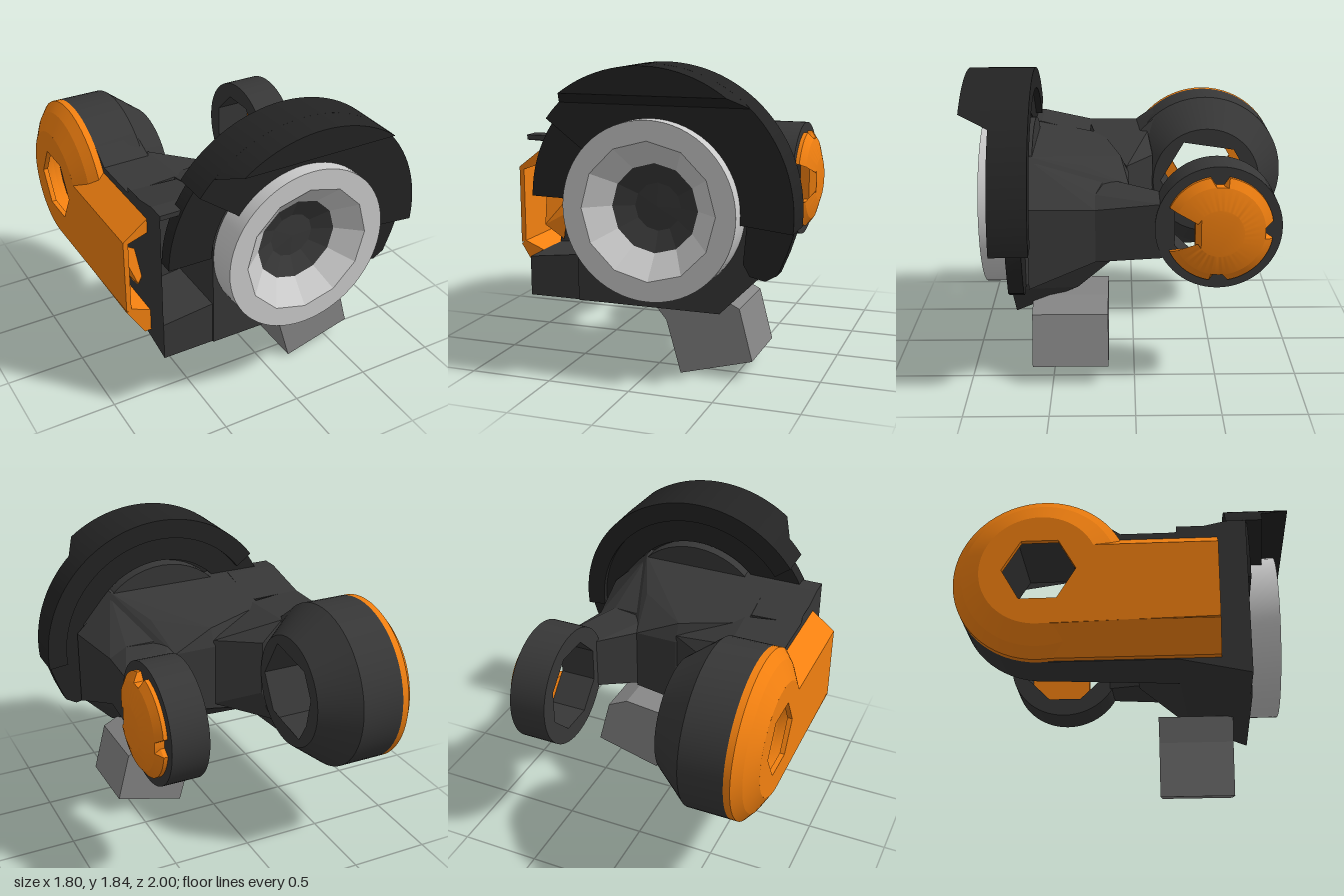
import * as THREE from 'three';
import { toCreasedNormals } from 'three/addons/utils/BufferGeometryUtils.js';
import { ConvexGeometry } from 'three/addons/geometries/ConvexGeometry.js';

const material = (color, extra = {}) => new THREE.MeshStandardMaterial({ color, ...extra });
const DARK = material(0x373737), BLACK = material(0x232323), ORANGE = material(0xf28010);
const LIGHT = material(0xcccccc), GREY = material(0x858585);
const FACET = { flatShading: true, side: THREE.DoubleSide };
const HUB_Y = 1.025, HUB_Z = -0.485; // pivot axis shared by both arms
const WX = 0.085, WY = 1.025; // wheel axis

export function createModel() {
  const model = new THREE.Group();

  const add = (name, geometry, mat) => {
    const mesh = new THREE.Mesh(geometry, mat);
    mesh.name = name;
    model.add(mesh);
    return mesh;
  };

  // Faceted solid around a few corners
  const hull = (name, corners, mat = DARK) => {
    const g = new ConvexGeometry(corners.map((c) => new THREE.Vector3(...c)));
    return add(name, toCreasedNormals(g, 0.1), mat);
  };

  const polygon = (n, r, turn = 0) =>
    Array.from({ length: n }, (_, i) => {
      const a = turn + (i / n) * Math.PI * 2;
      return new THREE.Vector2(r * Math.cos(a), r * Math.sin(a));
    });

  const ringShape = (r, hole) => {
    const s = new THREE.Shape(polygon(64, r));
    s.holes.push(new THREE.Path(hole));
    return s;
  };

  const extrude = (shape, z0, z1) =>
    new THREE.ExtrudeGeometry(shape, { depth: z1 - z0, bevelEnabled: false, curveSegments: 48 }).translate(0, 0, z0);

  // Disc on the pivot axis, its outer radius following [x, radius] steps
  const pivotDisc = (name, shape, steps, mat) => {
    for (let k = 0; k + 1 < steps.length; k++) {
      const [x0, r0] = steps[k], [x1, r1] = steps[k + 1];
      const g = extrude(shape, x0, x1);
      const p = g.attributes.position;
      for (let i = 0; i < p.count; i++) {
        const limit = Math.abs(p.getZ(i) - x0) < 1e-4 ? r0 : r1;
        const r = Math.hypot(p.getX(i), p.getY(i));
        const f = r > limit ? limit / r : 1;
        p.setXY(i, p.getX(i) * f, p.getY(i) * f);
      }
      g.rotateY(Math.PI / 2).translate(0, HUB_Y, HUB_Z);
      add(name, toCreasedNormals(g, 0.4), mat);
    }
  };

  // Large right-hand pivot housing and its hollow orange cap
  pivotDisc('largePivot', ringShape(0.515, polygon(6, 0.3)),
    [[-0.75, 0.515], [-0.48, 0.515], [-0.27, 0.35]], DARK);
  pivotDisc('largePivotCapRim', ringShape(0.515, polygon(24, 0.33)),
    [[-0.9, 0.345], [-0.84, 0.455], [-0.79, 0.515], [-0.75, 0.515]], ORANGE);

  // Flat face of the cap, running forward into the tail, with a hexagonal hole
  const face = new THREE.Shape();
  const top = Math.PI - Math.asin(0.15 / 0.345);
  face.moveTo(-1.025, -0.325);
  face.lineTo(0, -0.345);
  face.absarc(0, 0, 0.345, -Math.PI / 2, top, false);
  face.lineTo(-1.025, 0.15);
  face.holes.push(new THREE.Path(polygon(6, 0.215)));
  const faceGeometry = extrude(face, -0.9, -0.87).rotateY(Math.PI / 2).translate(0, HUB_Y, HUB_Z);
  add('capFace', toCreasedNormals(faceGeometry, 0.4), ORANGE);

  // Sloping top and bottom of the tail, open to the front and inside
  const tailPart = (name, z0, section) =>
    hull(name, [z0, 0.54].flatMap((z) => section.map(([x, y]) => [x, y, z])), ORANGE);
  tailPart('capTailTop', -0.18, [[-0.9, 1.175], [-0.75, 1.29], [-0.75, 1.2], [-0.87, 1.16]]);
  tailPart('capTailBottom', HUB_Z, [[-0.9, 0.69], [-0.79, 0.515], [-0.75, 0.515], [-0.75, 0.66], [-0.87, 0.71]]);

  // Small left-hand pivot ring
  pivotDisc('smallPivot', ringShape(0.37, polygon(8, 0.275, Math.PI / 8)),
    [[0.43, 0.37], [0.66, 0.37]], DARK);

  // Domed orange cap with three notches and a window towards the front
  const outline = [];
  for (let i = 0; i < 72; i++) {
    const a = (i / 72) * Math.PI * 2;
    const c = Math.cos(a), s = Math.sin(a);
    if (c < 0 && Math.abs(s) < 0.36) continue;
    const notch = [0, 18, 54].some((n) => Math.abs(i - n) < 2 || Math.abs(i - n) > 70);
    const r = notch ? 0.265 : 0.315;
    outline.push(new THREE.Vector2(r * c, r * s));
    if (i === 31) outline.push(new THREE.Vector2(-0.14, 0.115), new THREE.Vector2(-0.14, -0.115));
  }
  pivotDisc('smallPivotCap', new THREE.Shape(outline),
    [[0.66, 0.315], [0.685, 0.315], [0.72, 0.265], [0.76, 0.14]], ORANGE);

  // Central body
  hull('body', [
    [-0.43, 0.42, 0.72], [0.45, 0.42, 0.72], [0.69, 0.66, 0.72], [0.69, 1.2, 0.72],
    [0.45, 1.4, 0.62], [-0.43, 1.4, 0.62], [-0.43, 1.4, 0.72], [0.45, 1.4, 0.72],
    [-0.43, 0.51, 0.3], [0.3, 0.51, 0.35], [-0.43, 1.31, 0.2], [0.3, 1.3, 0.3],
    [-0.02, 0.72, 0.03], [0.25, 0.76, 0.03], [-0.02, 1.27, 0.08], [-0.02, 1.16, 0.03], [0.25, 1.16, 0.03],
  ]);

  // Right arm: block, wedges into the housing, and the open pocket in front
  hull('rightArm', [
    [-0.75, 0.51, 0.3], [-0.4, 0.51, 0.3], [-0.75, 1.33, 0.3], [-0.4, 1.32, 0.25],
    [-0.75, 1.33, -0.1], [-0.43, 1.32, -0.1], [-0.02, 1.2, 0.04], [-0.02, 0.75, 0.04],
    [-0.75, 0.6, -0.1], [-0.42, 0.6, -0.1], [-0.28, 1.2, -0.13], [-0.28, 0.85, -0.13],
  ]);
  hull('rightArmLower', [
    [-0.75, 0.51, 0.3], [-0.4, 0.51, 0.3], [-0.75, 0.7, 0.3], [-0.4, 0.7, 0.3],
    [-0.75, 0.511, HUB_Z], [-0.48, 0.511, HUB_Z], [-0.75, 0.7, -0.15], [-0.32, 0.75, -0.15],
  ]);
  hull('rightArmUpper', [
    [-0.75, 1.33, -0.03], [-0.45, 1.32, -0.05], [-0.75, 1.45, -0.2], [-0.48, 1.45, -0.2],
    [-0.75, 1.3, -0.15], [-0.4, 1.3, -0.15],
  ]);
  hull('pocketFloor', [
    [-0.75, 0.42, 0.71], [-0.4, 0.42, 0.71], [-0.75, 0.66, 0.71], [-0.4, 0.7, 0.71],
    [-0.75, 0.51, 0.3], [-0.4, 0.51, 0.3], [-0.75, 0.66, 0.3], [-0.4, 0.7, 0.3],
  ]);
  hull('pocketRoof', [
    [-0.75, 1.4, 0.71], [-0.4, 1.4, 0.71], [-0.75, 1.37, 0.71], [-0.4, 1.37, 0.71],
    [-0.75, 1.4, 0.6], [-0.4, 1.4, 0.6],
    [-0.75, 1.33, 0.28], [-0.4, 1.32, 0.28], [-0.75, 1.3, 0.3], [-0.4, 1.29, 0.3],
  ]);
  add('pocketWall', new THREE.PlaneGeometry(0.41, 0.85).rotateY(-Math.PI / 2), DARK)
    .position.set(-0.75, 0.945, 0.505);
  hull('pocketInsert', [
    [-0.84, 1.01, 0.3], [-0.66, 0.95, 0.4], [-0.66, 0.87, 0.38], [-0.78, 0.8, 0.45],
    [-0.84, 0.86, 0.3], [-0.72, 0.68, 0.31],
  ], ORANGE);

  // Left arm: shoulder and neck, narrowest in between
  hull('leftShoulder', [
    [0.3, 0.55, 0.62], [0.69, 0.66, 0.62], [0.69, 1.15, 0.62], [0.45, 1.38, 0.62], [0.3, 1.38, 0.62],
    [0.15, 0.74, 0.2], [0.61, 0.8, 0.23], [0.61, 1.12, 0.23], [0.5, 1.18, 0.23], [0.15, 1.22, 0.15],
  ]);
  hull('leftNeck', [
    [0.2, 0.74, 0.23], [0.61, 0.8, 0.23], [0.61, 1.12, 0.23], [0.5, 1.18, 0.23], [0.2, 1.2, 0.23],
    [0.25, 0.78, 0.03], [0.25, 1.16, 0.03], [0.43, 0.84, -0.18], [0.43, 1.17, -0.18],
    [0.655, 0.84, -0.16], [0.655, 1.17, -0.16],
  ]);

  // Slanted foot block
  const foot = new THREE.Shape([[0.18, 0], [0.62, 0.12], [0.54, 0.43], [0.4, 0.5], [-0.02, 0.45], [0.09, 0.32]]
    .map((p) => new THREE.Vector2(...p)));
  add('foot', extrude(foot, 0.16, 0.62), GREY);

  // Curved guard around the wheel, angles in degrees
  const arc = (name, r0, r1, a0, a1, z0, z1, end = []) => {
    const s = new THREE.Shape();
    const [b0, b1] = [a0, a1].map(THREE.MathUtils.degToRad);
    s.absarc(0, 0, r1, b0, b1, false);
    s.absarc(0, 0, r0, b1, b0, true);
    end.forEach((p) => s.lineTo(p[0] - WX, p[1] - WY));
    add(name, toCreasedNormals(extrude(s, z0, z1).translate(WX, WY, 0), 0.5), BLACK);
  };
  arc('guardLiner', 0.53, 0.8, -8, 179, 0.64, 0.73,
    [[0.59, 0.73], [0.63, 0.66], [0.72, 0.64], [0.79, 0.68], [0.84, 0.8]]);
  arc('guardShell', 0.69, 0.815, -6, 143, 0.6, 0.825);
  arc('guardFace', 0.5, 0.7, -6, 143, 0.7, 0.825);

  // Forward lip of the guard: a round-topped segment with a sloping flat underside
  const lip = [];
  for (const [z, y] of [[0.82, 0.585], [1, 0.655]]) {
    const half = Math.acos(y / 0.815);
    for (let i = 0; i <= 24; i++) {
      const a = half * (i / 12 - 1);
      lip.push([WX + 0.815 * Math.sin(a), WY + 0.815 * Math.cos(a), z]);
    }
  }
  hull('guardLip', lip, BLACK);

  // Wheel mount, rim, faceted funnel and dark hub bowl
  const mount = extrude(new THREE.Shape(polygon(48, 0.51)), 0.6, 0.725).translate(WX, WY, 0);
  add('wheelMount', toCreasedNormals(mount, 0.5), DARK);
  const rim = extrude(ringShape(0.515, polygon(12, 0.4)), 0.725, 0.91).translate(WX, WY, 0);
  add('wheelRim', toCreasedNormals(rim, 0.5), LIGHT);
  const lathe = (name, profile, mat) => {
    const g = new THREE.LatheGeometry(profile.map((p) => new THREE.Vector2(...p)), 12, Math.PI / 2);
    add(name, g.rotateX(Math.PI / 2).translate(WX, WY, 0), mat);
  };
  lathe('wheelFunnel', [[0.26, 0.79], [0.4, 0.91]], material(0xcccccc, FACET));
  lathe('wheelHub', [[0, 0.74], [0.14, 0.735], [0.26, 0.79]], material(0x373737, FACET));

  return model;
}
